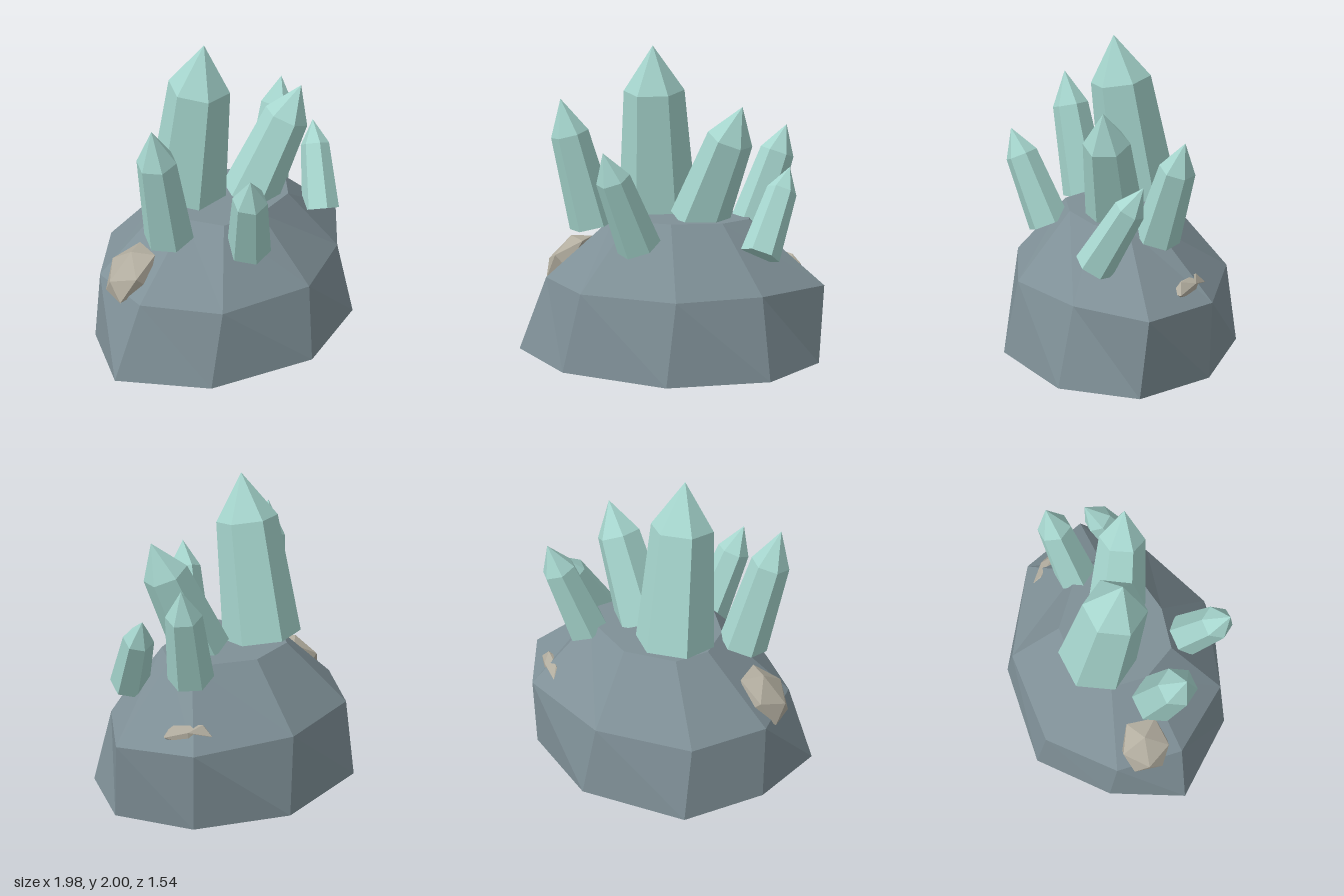
import * as THREE from 'three';

const material = (color) => new THREE.MeshStandardMaterial({ color, flatShading: true });
const rockMat = material(0x7f9097);
const crystalMat = material(0xa6d6ce);
const stoneMat = material(0xb2ad9f);

function addMesh(parent, name, geometry, mat) {
  const mesh = new THREE.Mesh(geometry, mat);
  mesh.name = name;
  parent.add(mesh);
  return mesh;
}

// Rock: three uneven nine-sided rings of [x, z], closed at top and bottom
function rockGeometry() {
  const rings = [
    { y: 0, pts: [[0.97, 0], [0.76, 0.47], [0.19, 0.77], [-0.52, 0.67], [-0.99, 0.27], [-0.86, -0.24], [-0.52, -0.69], [0.19, -0.77], [0.74, -0.47]] },
    { y: 0.5, pts: [[0.985, -0.05], [0.68, 0.365], [0.22, 0.67], [-0.41, 0.63], [-0.79, 0.27], [-0.83, -0.18], [-0.52, -0.6], [0.11, -0.71], [0.74, -0.48]] },
    { y: 0.91, pts: [[0.5, 0], [0.38, 0.2], [0.08, 0.32], [-0.2, 0.32], [-0.36, 0.12], [-0.38, -0.12], [-0.25, -0.31], [0.09, -0.37], [0.46, -0.17]] },
  ];
  const n = 9;
  const pos = [];
  const put = (r, i) => pos.push(rings[r].pts[i % n][0], rings[r].y, rings[r].pts[i % n][1]);
  for (let i = 0; i < n; i++) {
    const j = i + 1;
    for (let r = 0; r < 2; r++) {
      put(r, j); put(r, i); put(r + 1, j);
      put(r, i); put(r + 1, i); put(r + 1, j);
    }
    pos.push(0, 0, 0); put(0, i); put(0, j);
    pos.push(0, 0.91, 0); put(2, j); put(2, i);
  }
  const geometry = new THREE.BufferGeometry();
  geometry.setAttribute('position', new THREE.Float32BufferAttribute(pos, 3));
  geometry.computeVertexNormals();
  return geometry;
}

// Six-sided crystal, tapering to a shoulder and then to a point
function addCrystal(parent, name, base, tip, radius) {
  const from = new THREE.Vector3(...base);
  const axis = new THREE.Vector3(...tip).sub(from);
  const h = axis.length();
  const profile = [[0, 0], [radius, 0], [radius * 0.77, h * 0.725], [0, h]].map((p) => new THREE.Vector2(...p));
  const geometry = new THREE.LatheGeometry(profile, 6, Math.PI / 4);
  const mesh = addMesh(parent, name, geometry, crystalMat);
  mesh.position.copy(from);
  mesh.quaternion.setFromUnitVectors(new THREE.Vector3(0, 1, 0), axis.normalize());
}

// Small faceted stone lodged in the slope
function addStone(parent, name, position, size, rotation) {
  const mesh = addMesh(parent, name, new THREE.IcosahedronGeometry(1, 0), stoneMat);
  mesh.position.set(...position);
  mesh.scale.set(...size);
  mesh.rotation.set(...rotation);
}

export function createModel() {
  const model = new THREE.Group();
  model.name = 'crystalRock';

  addMesh(model, 'rock', rockGeometry(), rockMat);

  // Crystals: base centre, tip, base radius
  const crystals = new THREE.Group();
  crystals.name = 'crystals';
  model.add(crystals);
  addCrystal(crystals, 'mainCrystal', [-0.165, 0.95, -0.165], [-0.14, 2, 0.005], 0.255);
  addCrystal(crystals, 'rightCrystal', [-0.5, 0.85, 0.15], [-0.67, 1.67, 0.27], 0.16);
  addCrystal(crystals, 'middleCrystal', [0.18, 0.89, 0.04], [0.49, 1.64, 0.155], 0.19);
  addCrystal(crystals, 'backLeftCrystal', [0.48, 0.85, -0.18], [0.67, 1.49, -0.31], 0.145);
  addCrystal(crystals, 'frontLeftCrystal', [0.63, 0.73, 0.23], [0.75, 1.25, -0.05], 0.125);
  addCrystal(crystals, 'frontCrystal', [-0.09, 0.78, 0.44], [-0.24, 1.39, 0.665], 0.14);

  // Lodged stones
  addStone(model, 'rightStone', [-0.72, 0.59, 0.03], [0.22, 0.11, 0.18], [0, 0, 0.8]);
  addStone(model, 'backLeftStone', [0.66, 0.575, -0.345], [0.17, 0.075, 0.065], [0, -0.73, 0]);

  return model;
}
